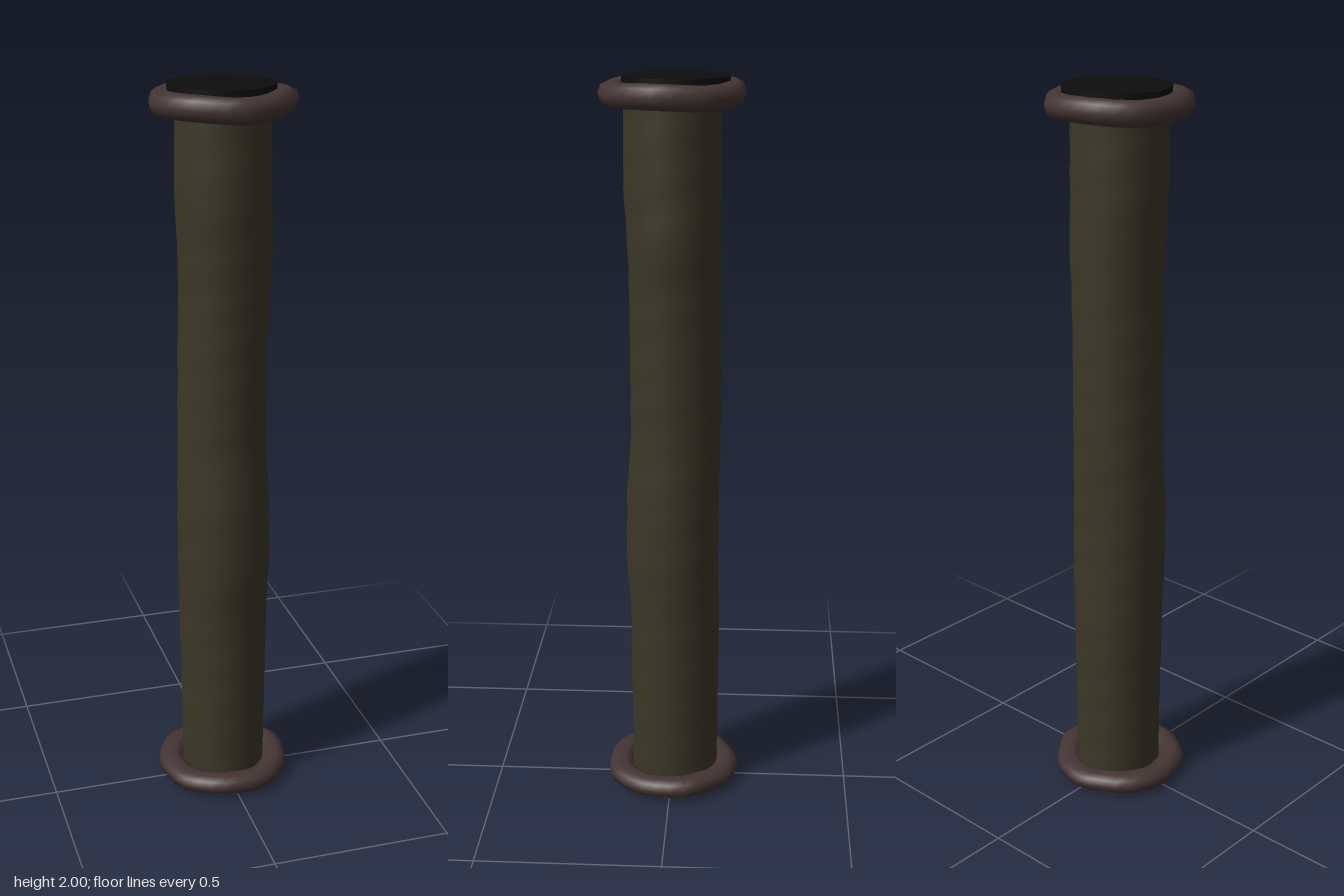
import * as THREE from 'three';
import { mergeVertices } from 'three/addons/utils/BufferGeometryUtils.js';

const material = (color) => new THREE.MeshStandardMaterial({ color });

function part(name, geometry, mat, y = 0) {
  const mesh = new THREE.Mesh(geometry, mat);
  mesh.name = name;
  mesh.position.y = y;
  return mesh;
}

// Welds the seam, moves every vertex by a rule and smooths the normals.
function deform(geometry, rule) {
  geometry.deleteAttribute('uv');
  geometry.deleteAttribute('normal');
  const welded = mergeVertices(geometry, 1e-4);
  const pos = welded.attributes.position;
  const v = new THREE.Vector3();
  for (let i = 0; i < pos.count; i++) {
    rule(v.fromBufferAttribute(pos, i));
    pos.setXYZ(i, v.x, v.y, v.z);
  }
  welded.computeVertexNormals();
  return welded;
}

// Shaft reach at each height: y, left (+x), right (-x), front (+z), back (-z).
const REACH = [
  [0.03, 0.118, 0.116, 0.115, 0.128],
  [0.3, 0.122, 0.118, 0.117, 0.128],
  [0.5, 0.124, 0.122, 0.118, 0.13],
  [0.7, 0.13, 0.124, 0.13, 0.127],
  [0.85, 0.128, 0.126, 0.128, 0.127],
  [1.05, 0.121, 0.123, 0.115, 0.13],
  [1.3, 0.122, 0.12, 0.116, 0.129],
  [1.47, 0.125, 0.116, 0.118, 0.128],
  [1.57, 0.134, 0.118, 0.122, 0.127],
  [1.72, 0.129, 0.125, 0.13, 0.126],
  [1.95, 0.127, 0.123, 0.128, 0.124],
];

function reachAt(y) {
  let i = 0;
  while (i < REACH.length - 2 && y > REACH[i + 1][0]) i++;
  const [a, b] = [REACH[i], REACH[i + 1]];
  const t = THREE.MathUtils.smoothstep(y, a[0], b[0]);
  return a.map((value, k) => THREE.MathUtils.lerp(value, b[k], t));
}

function shaftGeometry() {
  const tube = new THREE.CylinderGeometry(1, 1, 1.92, 28, 56, true).translate(0, 0.99, 0);
  return deform(tube, (v) => {
    const [, left, right, front, back] = reachAt(v.y);
    const angle = Math.atan2(v.z, v.x);
    const grain = 1 + 0.01 * Math.sin(5 * angle + 23 * v.y) * Math.sin(3 * angle - 31 * v.y);
    v.x *= (v.x > 0 ? left : right) * grain;
    v.z *= (v.z > 0 ? front : back) * grain;
  });
}

// Uneven rounded ring: a flattened torus with a slightly lumpy rim.
function ringGeometry(major, tube, halfHeight, phase) {
  const torus = new THREE.TorusGeometry(major, tube, 10, 28).rotateX(Math.PI / 2);
  return deform(torus, (v) => {
    const angle = Math.atan2(v.z, v.x);
    const lump = 1 + 0.012 * Math.sin(5 * angle + phase) + 0.01 * Math.sin(9 * angle - phase);
    // Square the cross-section a little, then apply the height and waviness.
    const s = THREE.MathUtils.clamp(v.y / tube, -1, 1);
    v.y = halfHeight * Math.sign(s) * Math.pow(Math.abs(s), 0.75)
      + 0.003 * Math.sin(3 * angle + phase);
    v.x *= lump;
    v.z *= lump;
  });
}

export function createModel() {
  const group = new THREE.Group();
  group.name = 'column';
  const wood = material(0x3b3728);
  const rim = material(0x443533);
  const black = material(0x0d0d0d);

  group.add(part('shaft', shaftGeometry(), wood));
  group.add(part('topRing', ringGeometry(0.153, 0.038, 0.033, 0.6), rim, 1.955));
  group.add(part('bottomRing', ringGeometry(0.15, 0.036, 0.027, 2.4), rim, 0.037));

  // Fourteen-sided black plug closing the top, just proud of the ring
  const plug = new THREE.CylinderGeometry(0.142, 0.142, 0.05, 14)
    .rotateY(Math.PI / 2).translate(0, 0, -0.008);
  group.add(part('topPlug', plug, black, 1.975));

  // Plate closing the underside
  const plate = new THREE.CylinderGeometry(0.155, 0.155, 0.04, 28);
  group.add(part('bottomPlate', plate, wood, 0.024));

  // Stand exactly on the ground and centre the footprint
  const box = new THREE.Box3().setFromObject(group, true);
  const centre = box.getCenter(new THREE.Vector3());
  for (const mesh of group.children) {
    mesh.position.x -= centre.x;
    mesh.position.y -= box.min.y;
    mesh.position.z -= centre.z;
  }
  return group;
}
